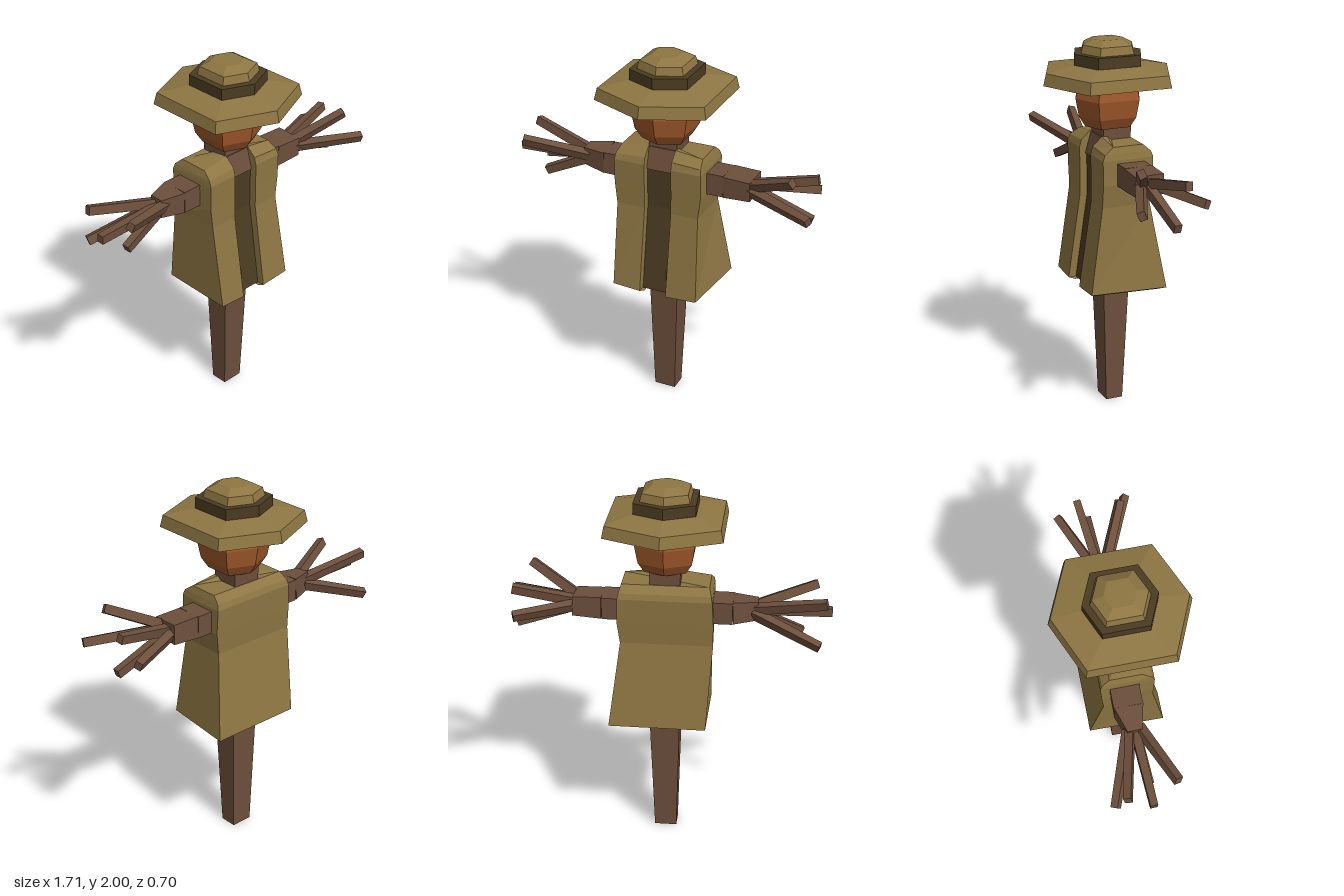
import * as THREE from 'three';

const mat = (name, color) => new THREE.MeshStandardMaterial({ name, color });

// Flat-shaded skin over stacked rings of [x, y, z], each counter-clockwise from above, with end caps
function loft(rings) {
  const pos = [];
  const tri = (a, b, c) => pos.push(...a, ...b, ...c);
  const n = rings[0].length;
  for (let k = 0; k + 1 < rings.length; k++) {
    const lo = rings[k], hi = rings[k + 1];
    for (let i = 0; i < n; i++) {
      const j = (i + 1) % n;
      tri(lo[i], lo[j], hi[j]);
      tri(lo[i], hi[j], hi[i]);
    }
  }
  const cap = (ring, up) => {
    const flat = ring.map(p => new THREE.Vector2(p[0], -p[2]));
    for (const [a, b, c] of THREE.ShapeUtils.triangulateShape(flat, [])) {
      if (up) tri(ring[a], ring[b], ring[c]);
      else tri(ring[a], ring[c], ring[b]);
    }
  };
  cap(rings[0], false);
  cap(rings[rings.length - 1], true);
  const g = new THREE.BufferGeometry();
  g.setAttribute('position', new THREE.Float32BufferAttribute(pos, 3));
  g.computeVertexNormals();
  return g;
}

// Long hexagon with its points toward front and back
const hex = (r, y) => [[0.86, -0.63], [0, -1], [-0.86, -0.63], [-0.86, 0.63], [0, 1], [0.86, 0.63]]
  .map(([x, z]) => [0.01 + x * r, y, z * r]);

const rect = (x0, x1, z0, z1, y) => [[x1, y, z1], [x1, y, z0], [x0, y, z0], [x0, y, z1]];

// Tapered square bar from p to q; sizes are [width, depth] at each end
function beam(p, q, s0, s1) {
  const a = new THREE.Vector3(...p), b = new THREE.Vector3(...q);
  const dir = b.clone().sub(a), len = dir.length();
  const g = new THREE.BoxGeometry(1, 1, 1).translate(0, 0.5, 0);
  const v = g.attributes.position;
  for (let i = 0; i < v.count; i++) {
    const s = v.getY(i) > 0.5 ? s1 : s0;
    v.setXYZ(i, v.getX(i) * s[0], v.getY(i) * len, v.getZ(i) * s[1]);
  }
  g.applyQuaternion(new THREE.Quaternion().setFromUnitVectors(new THREE.Vector3(0, 1, 0), dir.normalize()));
  g.translate(a.x, a.y, a.z);
  g.computeVertexNormals();
  return g;
}

// Coat outline with a shallow slot down the front
function coatRing(y, yIn, frontL, frontR, backL, backR, zF, zB, depth = 0.045) {
  return [
    [frontR, y, zF], [backR, y, zB], [backL, y, zB], [frontL, y, zF],
    [-0.065, yIn, zF], [-0.065, yIn, zF - depth], [0.085, yIn, zF - depth], [0.085, yIn, zF],
  ];
}

export function createModel() {
  const model = new THREE.Group();
  model.name = 'scarecrow';
  const wood = mat('wood brown', 0x6d4f3c);
  const cloth = mat('straw khaki', 0x8e7643);
  const dark = mat('dark cloth', 0x4b3c22);
  const pumpkin = mat('pumpkin orange', 0xa0582a);
  const add = (name, geometry, material, parent = model) => {
    const m = new THREE.Mesh(geometry, material);
    m.name = name;
    parent.add(m);
    return m;
  };

  // Pole, neck and chest
  add('pole', beam([0.01, 0, -0.015], [0.013, 0.74, -0.015], [0.12, 0.095], [0.165, 0.15]), wood);
  add('neck', beam([0.012, 0.74, -0.02], [0.01, 1.57, -0.02], [0.14, 0.14], [0.16, 0.155]), wood);
  add('chest', loft([
    rect(-0.066, 0.086, -0.05, 0.095, 1.385),
    rect(-0.066, 0.086, -0.05, 0.062, 1.5),
  ]), wood);

  // Coat, with a hollow hem
  const hem = coatRing(0.71, 0.70, -0.22, 0.258, -0.215, 0.3, 0.195, -0.213);
  const inset = y => hem.map(([x, , z]) => [0.02 + (x - 0.02) * 0.84, y, z * 0.84]);
  add('coat', loft([
    inset(0.85),
    inset(0.69),
    hem,
    coatRing(1.17, 1.17, -0.222, 0.236, -0.245, 0.24, 0.125, -0.138),
    coatRing(1.29, 1.29, -0.235, 0.25, -0.245, 0.256, 0.125, -0.145),
    coatRing(1.42, 1.42, -0.235, 0.25, -0.238, 0.252, 0.127, -0.15),
    coatRing(1.45, 1.46, -0.232, 0.245, -0.232, 0.245, 0.115, -0.14),
    coatRing(1.486, 1.506, -0.22, 0.235, -0.22, 0.235, 0.065, -0.1, 0.03),
  ]), cloth);
  add('coatOpening', loft([
    rect(-0.064, 0.084, 0.145, 0.154, 0.7),
    rect(-0.064, 0.084, 0.076, 0.085, 1.17),
    rect(-0.064, 0.084, 0.079, 0.088, 1.395),
  ]), dark);

  // Arms with twig fingers, given by their tips
  const arms = [
    { name: 'leftArm', x: 0.49, size: [0.105, 0.15], tips: [
      [0.74, 1.49, 0.14], [0.81, 1.425, -0.075], [0.845, 1.32, 0.185], [0.8, 1.215, -0.025], [0.79, 1.315, -0.185]] },
    { name: 'rightArm', x: -0.47, size: [0.1, 0.075], tips: [
      [-0.82, 1.43, -0.125], [-0.77, 1.43, 0.135], [-0.85, 1.335, 0], [-0.79, 1.215, -0.18], [-0.7, 1.215, 0.01]] },
  ];
  for (const { name, x, size, tips } of arms) {
    const arm = new THREE.Group();
    arm.name = name;
    model.add(arm);
    const elbow = Math.sign(x) * 0.34;
    add('upperArm', beam([0, 1.342, -0.025], [elbow, 1.342, -0.027], [0.12, 0.15], [0.118, 0.148]), wood, arm);
    add('forearm', beam([elbow, 1.342, -0.027], [x, 1.345, -0.022], [0.118, 0.148], size), wood, arm);
    for (const t of tips) {
      const root = [x * 0.94, 1.342 + (t[1] - 1.342) * 0.08, -0.022 + (t[2] + 0.022) * 0.18];
      add('finger', beam(root, t, [0.05, 0.045], [0.045, 0.038]), wood, arm);
    }
  }

  // Head
  add('head', loft([
    hex(0.125, 1.55), hex(0.16, 1.605), hex(0.178, 1.7), hex(0.163, 1.785), hex(0.14, 1.82),
  ]), pumpkin);

  // Hat
  const hat = new THREE.Group();
  hat.name = 'hat';
  model.add(hat);
  add('brim', loft([hex(0.352, 1.78), hex(0.337, 1.842), hex(0.17, 1.875)]), cloth, hat);
  add('hatBand', loft([hex(0.184, 1.865), hex(0.184, 1.93)]), dark, hat);
  add('crown', loft([hex(0.15, 1.92), hex(0.135, 1.972), hex(0.08, 2)]), cloth, hat);

  return model;
}
